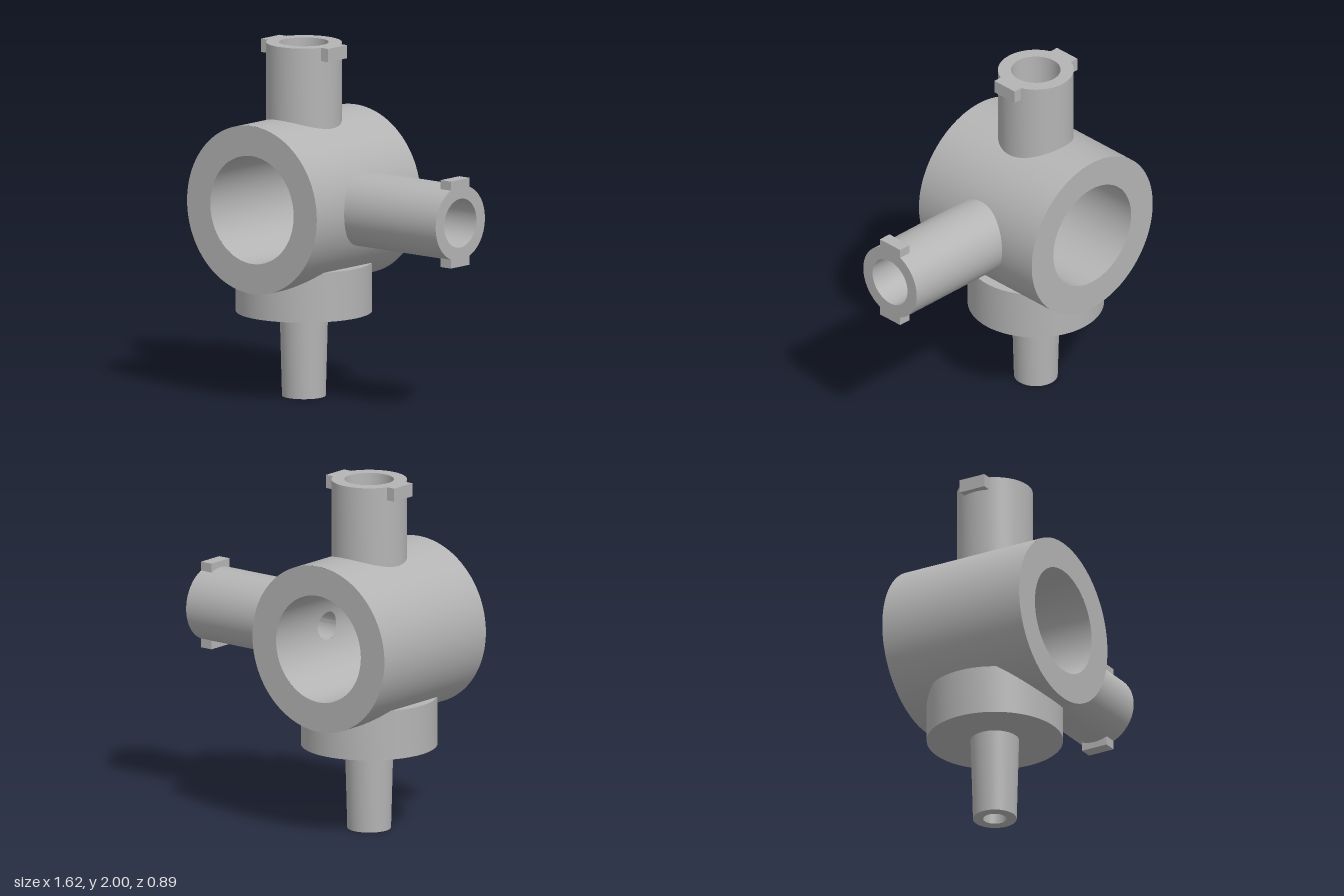
import * as THREE from 'three';
import { toCreasedNormals } from 'three/addons/utils/BufferGeometryUtils.js';

const OUTER = 0.475, BORE = 0.305, HALF = 0.445; // main barrel, axis along z

// A quarter of a cylinder wall, centred on +y, with a round hole in the middle.
function wallQuarter(R, hole, inward) {
  const N = 96, M = 12, pos = [], nor = [], idx = [];
  for (let i = 0; i <= M; i++) {
    for (let k = 0; k <= N; k++) {
      const a = (k / N) * Math.PI * 2, c = Math.cos(a), s = Math.sin(a);
      const m = Math.max(Math.abs(c), Math.abs(s)), t = i / M;
      const u = THREE.MathUtils.lerp(Math.asin((hole * c) / R), (c / m) * Math.PI / 4, t);
      const z = THREE.MathUtils.lerp(hole * s, (s / m) * HALF, t);
      const d = inward ? -1 : 1;
      pos.push(Math.sin(u) * R, Math.cos(u) * R, z);
      nor.push(Math.sin(u) * d, Math.cos(u) * d, 0);
      if (i < M && k < N) {
        const p = i * (N + 1) + k, q = p + N + 1;
        if (inward) idx.push(p, q, q + 1, p, q + 1, p + 1);
        else idx.push(p, q + 1, q, p, p + 1, q + 1);
      }
    }
  }
  const g = new THREE.BufferGeometry();
  g.setAttribute('position', new THREE.Float32BufferAttribute(pos, 3));
  g.setAttribute('normal', new THREE.Float32BufferAttribute(nor, 3));
  g.setIndex(idx);
  return g;
}

// Turned part along +y whose inner end is trimmed to the barrel bore.
function turned(profile) {
  const g = new THREE.LatheGeometry(profile.map(([x, y]) => new THREE.Vector2(x, y)), 72);
  const p = g.attributes.position;
  for (let i = 0; i < p.count; i++) {
    const x = p.getX(i);
    p.setY(i, Math.max(p.getY(i), Math.sqrt(Math.max(0, BORE * BORE - x * x))));
  }
  return toCreasedNormals(g, 0.6);
}

export function createModel() {
  const plastic = new THREE.MeshStandardMaterial({ color: 0xb4b4b4 });
  plastic.name = 'grey plastic';
  const model = new THREE.Group();
  model.name = 'valveBody';
  const body = new THREE.Group();
  body.name = 'body';
  body.position.set(-0.335, 1.11, 0);
  model.add(body);

  const add = (parent, name, geometry) => {
    const mesh = new THREE.Mesh(geometry, plastic);
    mesh.name = name;
    parent.add(mesh);
    return mesh;
  };

  // Barrel walls: top, right-hand port, bottom and plain side
  const barrel = new THREE.Group();
  barrel.name = 'barrel';
  body.add(barrel);
  const quarters = [[0, 0.08], [-Math.PI / 2, 0.08], [Math.PI, 0.065], [Math.PI / 2, 0]];
  for (const [angle, hole] of quarters) {
    add(barrel, 'barrelOuterWall', wallQuarter(OUTER, hole && 0.1, false)).rotation.z = angle;
    add(barrel, 'barrelBoreWall', wallQuarter(BORE, hole, true)).rotation.z = angle;
  }
  for (const side of [1, -1]) {
    const rim = add(barrel, 'barrelRim', new THREE.RingGeometry(BORE, OUTER, 96));
    rim.position.z = side * HALF;
    if (side < 0) rim.rotation.y = Math.PI;
  }

  // Socket ports with tapered bores and a pair of locking lugs
  const port = (name, end, angle) => {
    const g = new THREE.Group();
    g.name = name;
    g.rotation.z = angle;
    body.add(g);
    add(g, 'portTube', turned([
      [0.211, 0.4], [0.211, end], [0.138, end], [0.127, end - 0.4], [0.08, end - 0.4], [0.08, 0.28],
    ]));
    for (const side of [1, -1]) {
      const lug = add(g, 'lockingLug', new THREE.BoxGeometry(0.065, 0.075, 0.16));
      lug.position.set(side * 0.2135, end - 0.0375, 0);
    }
  };
  port('topPort', 0.89, 0);
  port('sidePort', 1.145, -Math.PI / 2);

  // Round boss and tapered hollow stem below
  add(body, 'bossAndStem', turned([
    [0.2, 0.35], [0.38, 0.35], [0.38, 0.63], [0.135, 0.63],
    [0.122, 1.11], [0.065, 1.11], [0.065, 0.28],
  ])).rotation.z = Math.PI;

  return model;
}
